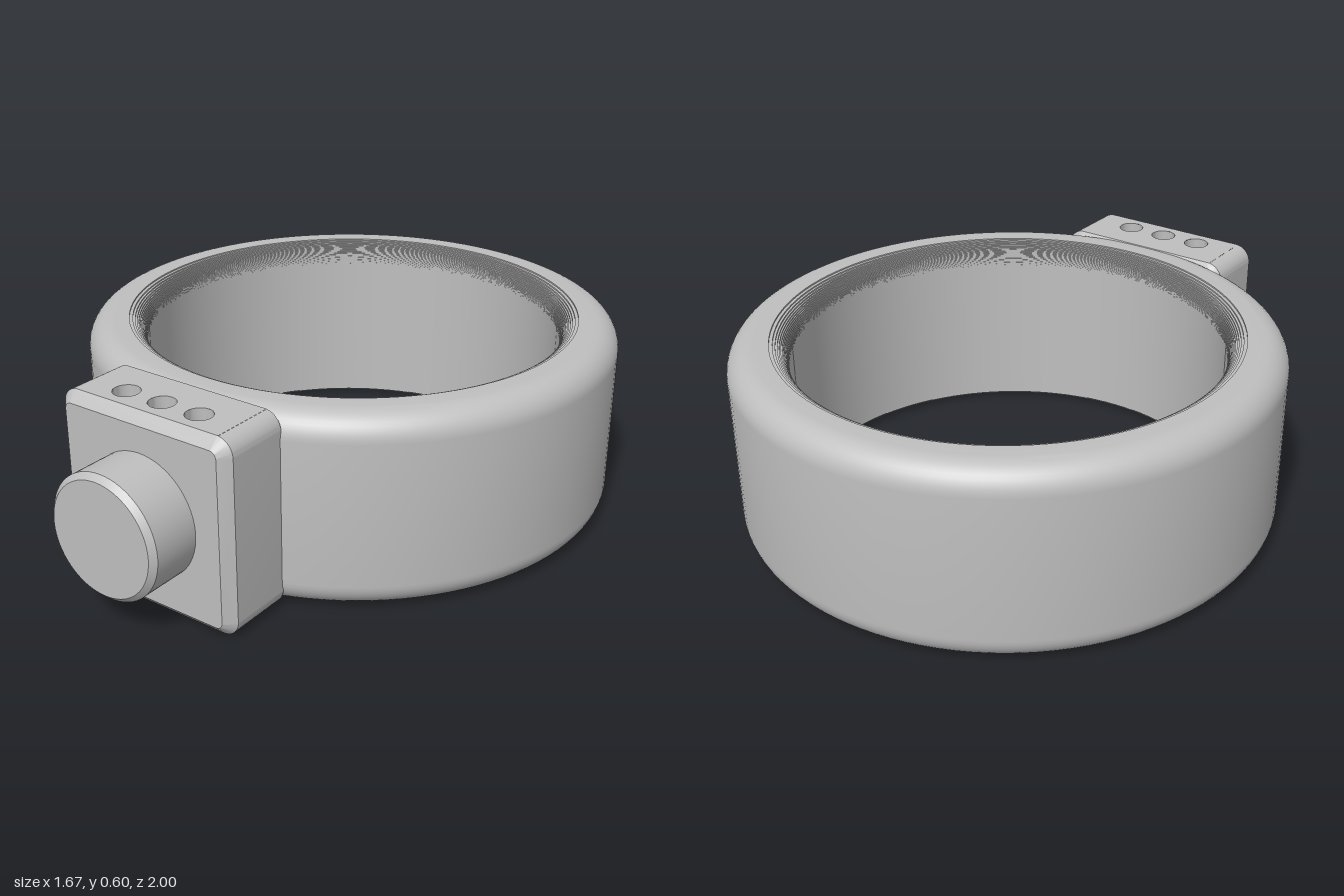
import * as THREE from 'three';
import { toCreasedNormals } from 'three/addons/utils/BufferGeometryUtils.js';

const HEIGHT = 0.6, RING_Z = -0.167, OUTER = 0.833, INNER = 0.652, FILLET = 0.08;
const CREASE = 0.5;

const grey = new THREE.MeshStandardMaterial({ color: 0xbfbfbf });
grey.name = 'satin grey';

function part(name, geometry, parent) {
  const mesh = new THREE.Mesh(geometry, grey);
  mesh.name = name;
  parent.add(mesh);
  return mesh;
}

function turned(points, segments) {
  const pts = points.map(([x, y]) => new THREE.Vector2(x, y));
  return toCreasedNormals(new THREE.LatheGeometry(pts, segments), CREASE);
}

// Band: rounded outer edges, finely stepped inner edges
function bandGeometry() {
  const pts = [], n = 10, steps = 18;
  for (let i = 0; i <= n; i++) {
    const a = -Math.PI / 2 + (i / n) * Math.PI / 2;
    pts.push([OUTER - FILLET + FILLET * Math.cos(a), FILLET + FILLET * Math.sin(a)]);
  }
  for (let i = n; i >= 0; i--) pts.push([pts[i][0], HEIGHT - pts[i][1]]);

  // steps follow a quarter round from the rim down to the bore
  const rim = [];
  for (let i = 0; i < steps; i++) {
    const d = (i + 1) / steps;
    const r = INNER + FILLET * (1 - Math.sqrt(1 - (1 - d) ** 2));
    rim.push([r, HEIGHT - (i / steps) * FILLET], [r, HEIGHT - d * FILLET]);
  }
  pts.push(...rim, ...rim.slice().reverse().map(([r, y]) => [r, HEIGHT - y]));
  pts.push(pts[0]);
  return turned(pts, 112);
}

function roundedRect(w, h, r) {
  const s = new THREE.Shape(), x = w / 2, y = h / 2;
  s.moveTo(x, -y + r);
  s.lineTo(x, y - r);
  s.absarc(x - r, y - r, r, 0, Math.PI / 2);
  s.absarc(-x + r, y - r, r, Math.PI / 2, Math.PI);
  s.absarc(-x + r, -y + r, r, Math.PI, Math.PI * 1.5);
  s.absarc(x - r, -y + r, r, Math.PI * 1.5, Math.PI * 2);
  return s;
}

// Chamfered block, with its flat top face taken out to make room for the holes
function blockGeometry() {
  const bevel = 0.032;
  const solid = new THREE.ExtrudeGeometry(roundedRect(0.6 - 2 * bevel, HEIGHT - 2 * bevel, 0.022), {
    depth: 0.2, bevelEnabled: true, bevelSize: bevel, bevelThickness: 0.03, bevelSegments: 1, curveSegments: 6,
  });
  solid.translate(0, HEIGHT / 2, 0.605);
  const p = solid.attributes.position, kept = [], top = new THREE.Box3(), v = new THREE.Vector3();
  for (let i = 0; i < p.count; i += 3) {
    const tri = [i, i + 1, i + 2];
    if (tri.every((k) => p.getY(k) > HEIGHT - 0.0005)) {
      tri.forEach((k) => top.expandByPoint(v.fromBufferAttribute(p, k)));
    } else {
      tri.forEach((k) => kept.push(p.getX(k), p.getY(k), p.getZ(k)));
    }
  }
  const g = new THREE.BufferGeometry();
  g.setAttribute('position', new THREE.Float32BufferAttribute(kept, 3));
  return { shell: toCreasedNormals(g, CREASE), top };
}

export function createModel() {
  const model = new THREE.Group();
  model.name = 'ringWithButton';

  part('band', bandGeometry(), model).position.z = RING_Z;

  // Block
  const block = new THREE.Group();
  block.name = 'block';
  model.add(block);
  const { shell, top } = blockGeometry();
  part('blockShell', shell, block);

  // Top face with three small blind holes
  const holeR = 0.04, holeZ = 0.735;
  const face = new THREE.Shape([
    new THREE.Vector2(top.min.x, -top.max.z), new THREE.Vector2(top.max.x, -top.max.z),
    new THREE.Vector2(top.max.x, -top.min.z), new THREE.Vector2(top.min.x, -top.min.z),
  ]);
  for (const x of [-0.13, 0, 0.13]) {
    const hole = new THREE.Path();
    hole.absarc(x, -holeZ, holeR, 0, Math.PI * 2, true);
    face.holes.push(hole);
    part('hole', turned([[holeR, HEIGHT], [holeR, HEIGHT - 0.04], [0, HEIGHT - 0.04]], 32), block)
      .position.set(x, 0, holeZ);
  }
  const topFace = new THREE.ShapeGeometry(face, 32);
  topFace.rotateX(-Math.PI / 2);
  topFace.translate(0, HEIGHT, 0);
  part('blockTop', topFace, block);

  // Round push button on the front
  const button = turned([[0.188, 0.8], [0.188, 0.983], [0.171, 1], [0, 1]], 64);
  button.rotateX(Math.PI / 2);
  part('button', button, model).position.y = HEIGHT / 2;

  return model;
}
